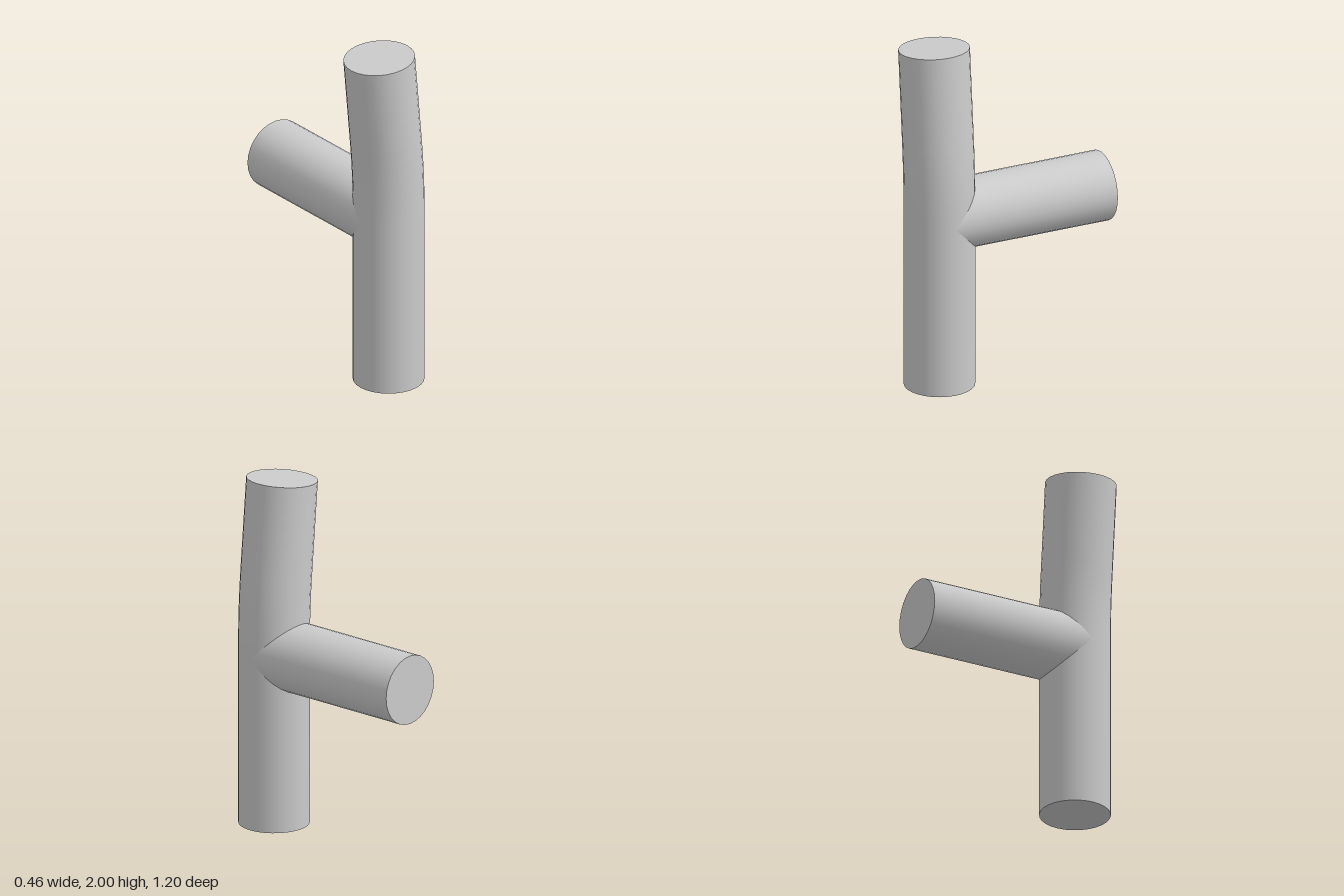
import * as THREE from 'three';

const R = 0.198, SIDES = 28;
const AXIS_X = 0.03, AXIS_Z = 0.4;       // axis of the upright pipe
const BEND_START = 1.05, BEND_LENGTH = 0.4, BEND_ANGLE = 0.09, LENGTH = 1.985;

// Point and tilt of the upright's centreline at distance s from its foot
function centreline(s) {
  const bendRadius = BEND_LENGTH / BEND_ANGLE;
  const along = THREE.MathUtils.clamp(s - BEND_START, 0, BEND_LENGTH);
  const rest = Math.max(0, s - BEND_START - BEND_LENGTH);
  const tilt = along / bendRadius;
  return {
    x: -bendRadius * (1 - Math.cos(tilt)) - rest * Math.sin(tilt),
    y: Math.min(s, BEND_START) + bendRadius * Math.sin(tilt) + rest * Math.cos(tilt),
    tilt,
  };
}

// Capped cylinder whose rows follow the gently bent centreline
function uprightGeometry() {
  const rows = [0, BEND_START];
  for (let i = 1; i <= 8; i++) rows.push(BEND_START + BEND_LENGTH * i / 8);
  rows.push(LENGTH);
  const count = rows.length - 1;
  const geo = new THREE.CylinderGeometry(R, R, count, SIDES, count);
  const pos = geo.attributes.position, nor = geo.attributes.normal;
  const up = new THREE.Vector3(0, 0, 1), p = new THREE.Vector3(), n = new THREE.Vector3();
  for (let i = 0; i < pos.count; i++) {
    const c = centreline(rows[Math.round(pos.getY(i) + count / 2)]);
    p.set(pos.getX(i), 0, pos.getZ(i)).applyAxisAngle(up, c.tilt);
    pos.setXYZ(i, p.x + c.x, p.y + c.y, p.z);
    n.fromBufferAttribute(nor, i).applyAxisAngle(up, c.tilt);
    nor.setXYZ(i, n.x, n.y, n.z);
  }
  return geo;
}

// Horizontal pipe to the back, its inner end cut to saddle the upright
function branchGeometry() {
  const geo = new THREE.CylinderGeometry(R, R, 1, SIDES, 1, true);
  geo.rotateX(-Math.PI / 2);
  const pos = geo.attributes.position;
  for (let i = 0; i < pos.count; i++) {
    const x = pos.getX(i);
    const saddle = -Math.sqrt(Math.max(0, R * R - x * x)) + 0.005;
    pos.setZ(i, pos.getZ(i) > 0 ? saddle : -1);
  }
  return geo;
}

export function createModel() {
  const model = new THREE.Group();
  model.name = 'pipeTee';
  const material = new THREE.MeshStandardMaterial({ color: 0xcccccc });

  const upright = new THREE.Mesh(uprightGeometry(), material);
  upright.name = 'uprightPipe';
  upright.position.set(AXIS_X, 0, AXIS_Z);

  const branch = new THREE.Group();
  branch.name = 'branchPipe';
  branch.position.set(AXIS_X, 0.995, AXIS_Z);
  const wall = new THREE.Mesh(branchGeometry(), material);
  wall.name = 'branchWall';

  // Closed outer end of the branch, facing back
  const cap = new THREE.Mesh(new THREE.CircleGeometry(R, SIDES, Math.PI / 2), material);
  cap.name = 'branchEnd';
  cap.rotation.y = Math.PI;
  cap.position.z = -1;
  branch.add(wall, cap);

  model.add(upright, branch);
  return model;
}
